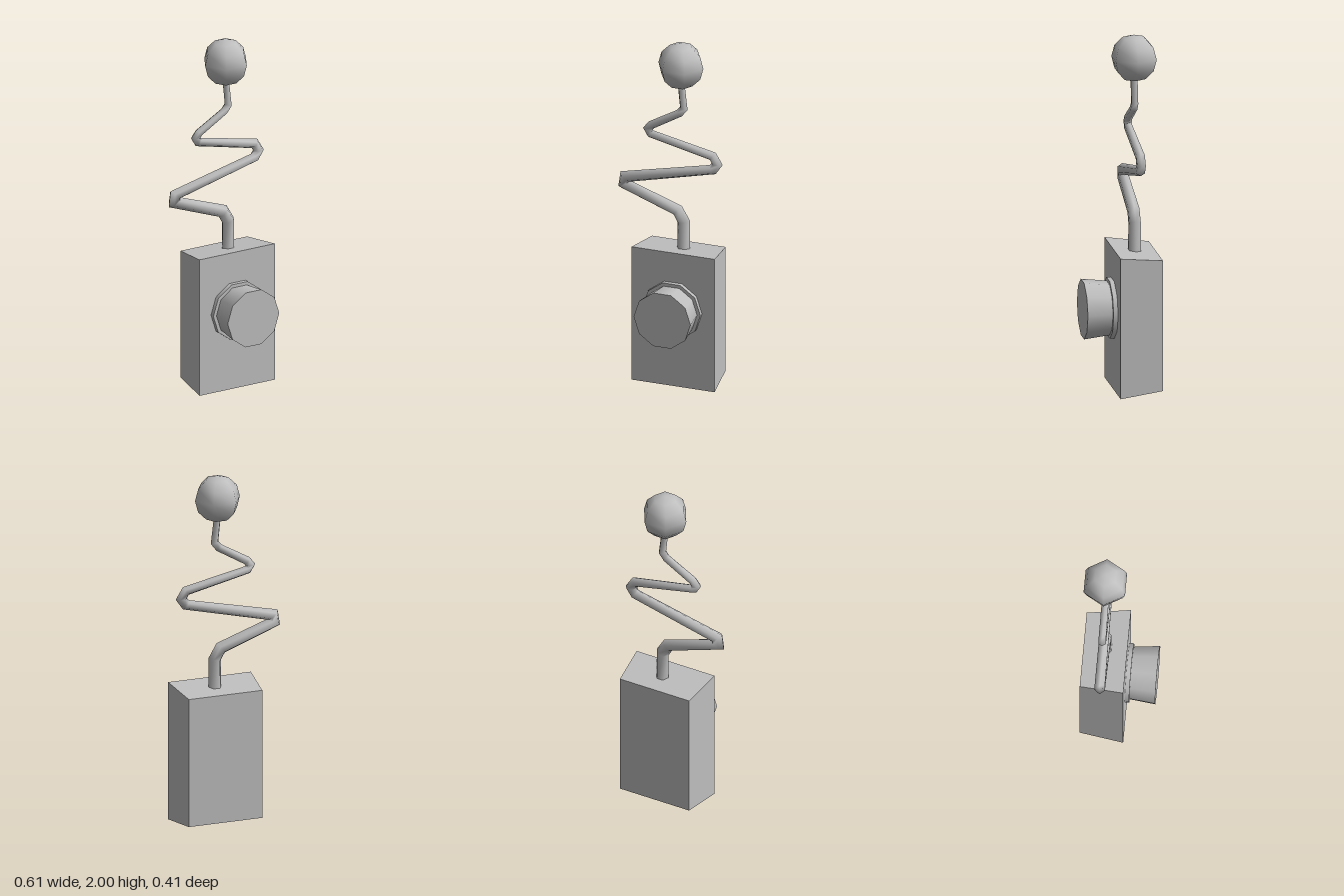
import * as THREE from 'three';

const CX = 0.054;       // shared centre line of box, knob and ball
const ROD_Z = -0.083;   // plane of the bent rod

// Box that narrows on all four sides towards its back
function taperedBox() {
  const g = new THREE.BoxGeometry(0.488, 0.795, 0.242);
  const p = g.attributes.position;
  for (let i = 0; i < p.count; i++) {
    if (p.getZ(i) < 0) p.setXY(i, p.getX(i) * 0.887, p.getY(i) * 0.93);
  }
  g.computeVertexNormals();
  return g;
}

// Six-sided tapering tube with mitred bends along a path in the xy plane
function bentRod(path, r0, r1, sides = 6) {
  const pts = path.map(([x, y]) => new THREE.Vector2(x, y));
  const last = pts.length - 1;
  const total = pts.reduce((s, p, i) => (i ? s + p.distanceTo(pts[i - 1]) : 0), 0);
  const pos = [], idx = [];
  let run = 0;
  pts.forEach((p, i) => {
    if (i) run += p.distanceTo(pts[i - 1]);
    const after = pts[Math.min(i + 1, last)].clone().sub(pts[Math.min(i, last - 1)]).normalize();
    const before = p.clone().sub(pts[Math.max(i - 1, 0)]).normalize();
    if (i === 0) before.copy(after);
    const t = before.clone().add(after).normalize();
    const mitre = Math.min(1 / Math.max(t.dot(after), 0.1), 1.45);
    const r = THREE.MathUtils.lerp(r0, r1, run / total);
    for (let j = 0; j < sides; j++) {
      const a = (j / sides) * Math.PI * 2;
      const w = r * mitre * Math.cos(a);
      pos.push(p.x + t.y * w, p.y - t.x * w, r * Math.sin(a));
      if (i < last) {
        const A = i * sides + j, B = i * sides + ((j + 1) % sides);
        idx.push(A, A + sides, B, B, A + sides, B + sides);
      }
    }
  });
  const g = new THREE.BufferGeometry();
  g.setAttribute('position', new THREE.Float32BufferAttribute(pos, 3));
  g.setIndex(idx);
  g.computeVertexNormals();
  return g;
}

// Ten-sided disc or drum facing forwards
function drum(rFront, rBack, z0, z1) {
  const g = new THREE.CylinderGeometry(rFront, rBack, z1 - z0, 10, 1, false, Math.PI / 2);
  g.rotateX(Math.PI / 2);
  g.translate(CX, 0.457, (z0 + z1) / 2);
  return g;
}

export function createModel() {
  const group = new THREE.Group();
  const grey = new THREE.MeshStandardMaterial({ color: 0xbfbfbf });
  grey.name = 'light grey';
  const add = (name, geometry) => {
    const mesh = new THREE.Mesh(geometry, grey);
    mesh.name = name;
    group.add(mesh);
    return mesh;
  };

  // Housing
  add('housing', taperedBox()).position.set(CX, 0.3975, -0.084);

  // Knob on the front
  add('knobFlange', drum(0.17, 0.17, 0.03, 0.062));
  add('knob', drum(0.167, 0.15, 0.06, 0.205));

  // Zigzag aerial
  const path = [
    [0.07, 0.74], [0.07, 0.94], [0.035, 1.0],
    [-0.278, 1.112], [-0.272, 1.154],
    [0.241, 1.275], [0.267, 1.312], [0.241, 1.355],
    [-0.124, 1.434], [-0.14, 1.46], [-0.119, 1.487],
    [0.045, 1.582], [0.071, 1.615], [0.053, 1.78],
  ];
  add('aerial', bentRod(path, 0.038, 0.02)).position.z = ROD_Z;

  // Ball on the tip
  add('aerialBall', new THREE.SphereGeometry(0.132, 6, 6)).position.set(CX, 1.868, ROD_Z);

  return group;
}
